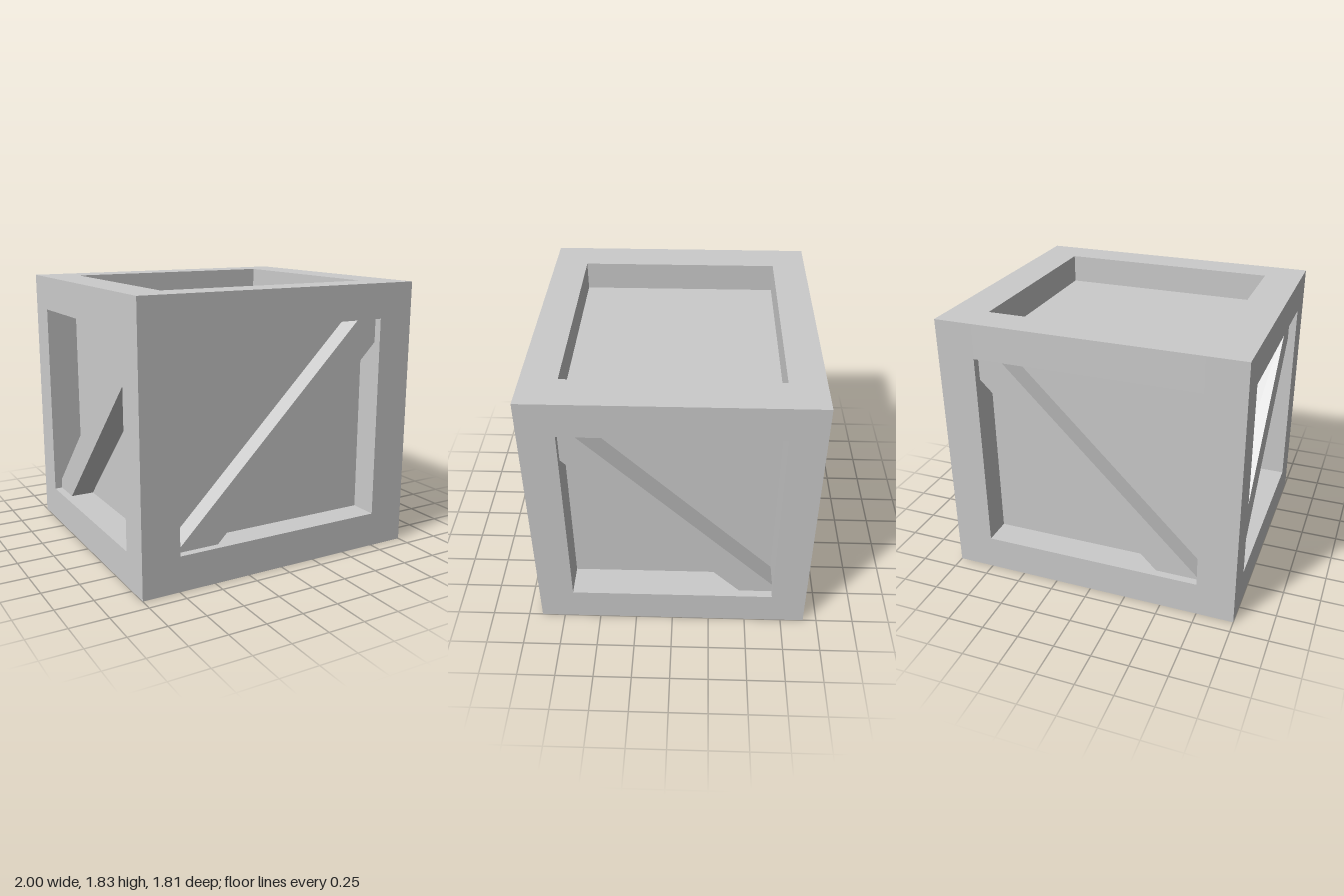
import * as THREE from 'three';

const W = 1, H = 1.825, D = 0.907;          // half width, full height, half depth
const IX = 0.745, IZ = 0.677;               // inner half sizes of the openings
const Y0 = 0.235, Y1 = 1.592;               // bottom and top of the openings
const BRACE = 0.18;                         // brace thickness, partly sunk into the core
const INSET = 0.052;                        // brace face behind the frame face

export function createModel() {
  const crate = new THREE.Group();
  crate.name = 'crate';
  const material = new THREE.MeshStandardMaterial({ color: 0xcccccc, flatShading: true });

  const add = (name, geometry) => {
    const mesh = new THREE.Mesh(geometry, material);
    mesh.name = name;
    crate.add(mesh);
  };
  // Box given by its limits on each axis
  const block = (name, x0, x1, y0, y1, z0, z1) => {
    const g = new THREE.BoxGeometry(x1 - x0, y1 - y0, z1 - z0);
    add(name, g.translate((x0 + x1) / 2, (y0 + y1) / 2, (z0 + z1) / 2));
  };
  // Limits of a beam on the negative or positive side
  const span = (side, inner, outer) => (side < 0 ? [-outer, -inner] : [inner, outer]);

  // Recessed panels on all six sides
  block('panelCore', -0.785, 0.785, 0.195, H - 0.195, -0.717, 0.717);

  // Corner posts
  for (const sx of [-1, 1]) for (const sz of [-1, 1])
    block('cornerPost', ...span(sx, IX, W), 0, H, ...span(sz, IZ, D));

  // Rails between the posts, at the bottom and the top
  for (const [y0, y1] of [[0, Y0], [Y1, H]]) for (const s of [-1, 1]) {
    block('widthRail', -IX, IX, y0, y1, ...span(s, IZ, D));
    block('depthRail', ...span(s, IX, W), y0, y1, -IZ, IZ);
  }

  // Diagonal braces, cut to fit the openings
  const brace = (points) => new THREE.ExtrudeGeometry(
    new THREE.Shape(points.map(([a, b]) => new THREE.Vector2(a, b))),
    { depth: BRACE, bevelEnabled: false });

  const across = [[-IX, Y0], [-0.453, Y0], [IX, 1.43], [IX, Y1], [0.603, Y1], [-IX, 0.242]];
  add('frontBrace', brace(across).translate(0, 0, D - INSET - BRACE));
  add('backBrace', brace(across).translate(0, 0, -D + INSET));

  const along = [[-IZ, Y0], [-0.455, Y0], [IZ, 1.372], [IZ, Y1], [0.613, Y1], [-IZ, 0.3]];
  add('leftBrace', brace(along).rotateY(-Math.PI / 2).translate(W - INSET, 0, 0));
  add('rightBrace', brace(along).rotateY(-Math.PI / 2).translate(-W + INSET + BRACE, 0, 0));

  return crate;
}
